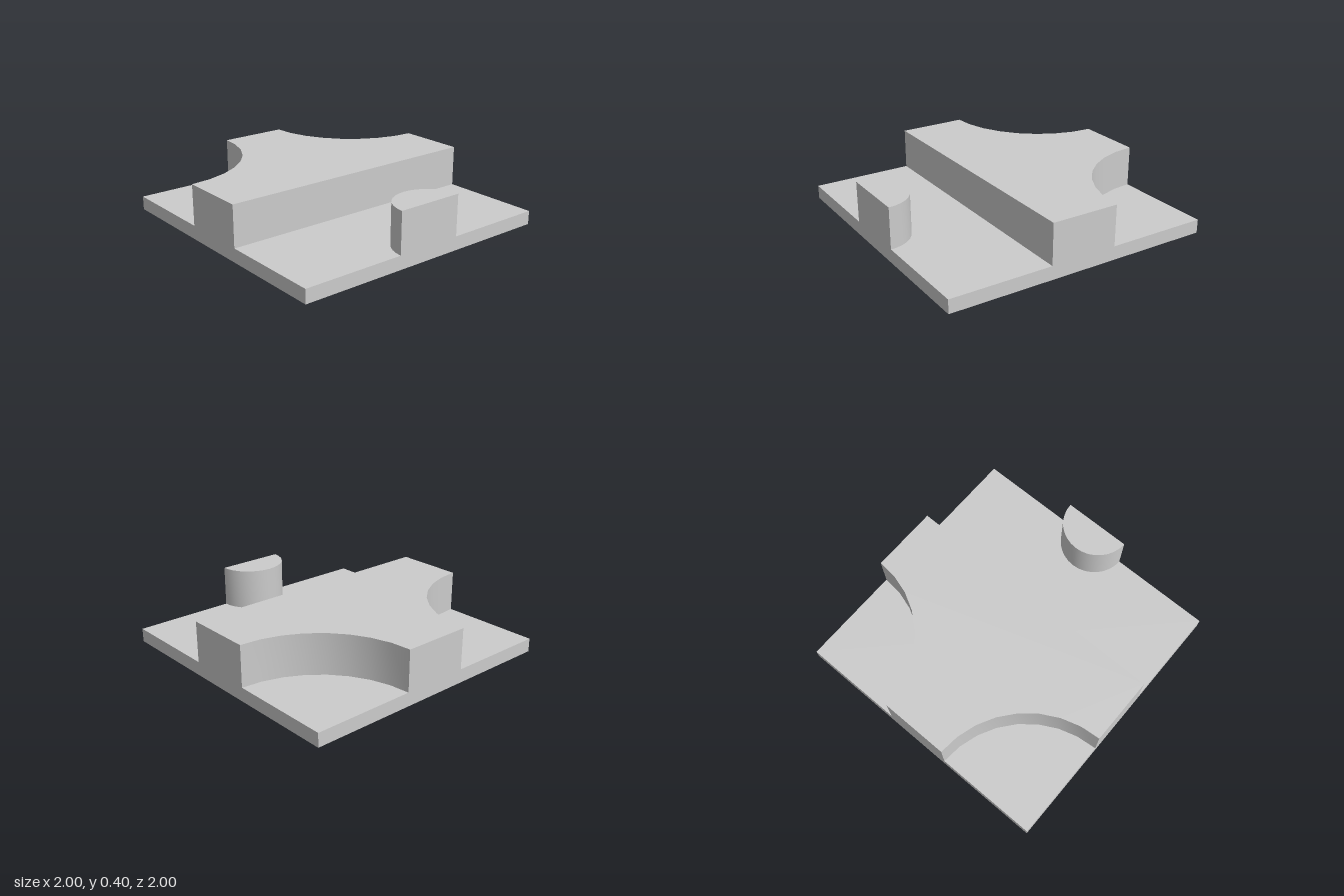
import * as THREE from 'three';
import { toCreasedNormals } from 'three/addons/utils/BufferGeometryUtils.js';

const BASE = 0.1, HEIGHT = 0.4;

export function createModel() {
  const model = new THREE.Group();
  model.name = 'tile';
  const material = new THREE.MeshStandardMaterial({ color: 0xcccccc });

  const add = (name, geometry) => {
    const mesh = new THREE.Mesh(geometry, material);
    mesh.name = name;
    model.add(mesh);
    return mesh;
  };

  // Raises a floor plan (x, -z) from the top of the base slab to full height
  const raise = (name, shape, curveSegments) => {
    const geometry = new THREE.ExtrudeGeometry(shape, {
      depth: HEIGHT - BASE, bevelEnabled: false, curveSegments,
    });
    geometry.rotateX(-Math.PI / 2);
    add(name, toCreasedNormals(geometry, 0.6)).position.y = BASE;
  };

  // Square base slab
  add('base', new THREE.BoxGeometry(2, BASE, 2)).position.y = BASE / 2;

  // T-shaped plateau with a quarter circle cut from each back corner
  const plateau = new THREE.Shape();
  plateau.moveTo(-1, -0.25);
  plateau.lineTo(1, -0.25);
  plateau.lineTo(1, 0.25);
  plateau.absarc(1, 1, 0.75, Math.PI * 1.5, Math.PI, true);
  plateau.lineTo(-0.25, 1);
  plateau.absarc(-1, 1, 0.75, 0, -Math.PI / 2, true);
  plateau.closePath();
  raise('plateau', plateau, 4);

  // Half-round block at the middle of the front edge
  const halfRound = new THREE.Shape();
  halfRound.moveTo(-0.25, -1);
  halfRound.lineTo(0.25, -1);
  halfRound.absarc(0, -1, 0.25, 0, Math.PI, false);
  raise('halfRoundBlock', halfRound, 8);

  return model;
}
